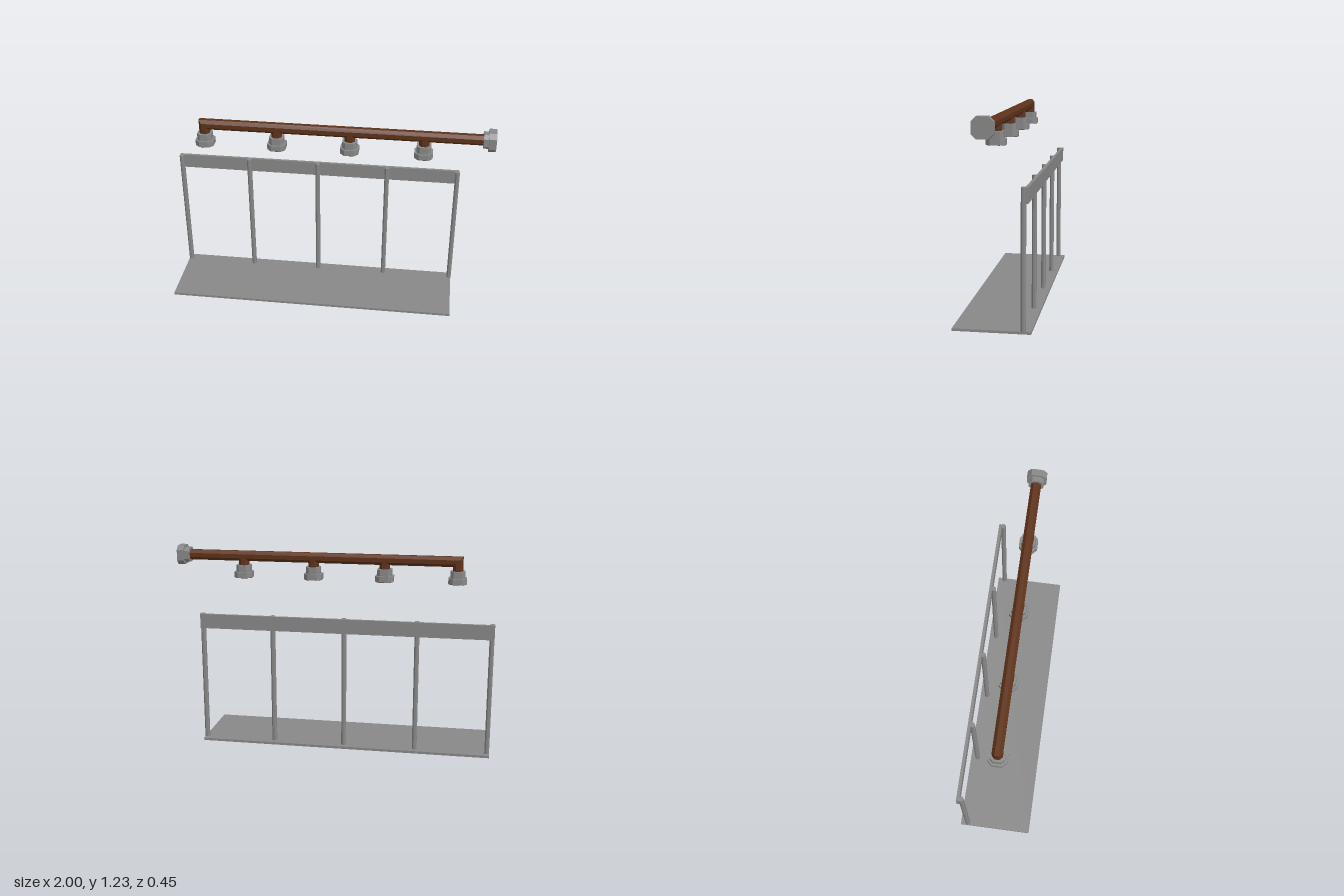
import * as THREE from 'three';

const grey = new THREE.MeshStandardMaterial({ color: 0x888888 });
grey.name = 'grey metal';
const brown = new THREE.MeshStandardMaterial({ color: 0x5e3219 });
brown.name = 'brown pipe';

const PIPE_Y = 1.167, PIPE_Z = 0.007, PIPE_R = 0.031;
const ELBOW_X = -0.764, STEP = 0.4475;

// Flat-faced octagonal bar along y, r measured to the flats
function octBar(r, y0, y1) {
  const g = new THREE.CylinderGeometry(r / Math.cos(Math.PI / 8), r / Math.cos(Math.PI / 8), y1 - y0, 8);
  return g.rotateY(Math.PI / 8).translate(0, (y0 + y1) / 2, 0);
}

// Square block along y with chamfered corners
function chamferBlock(width, cut, y0, y1) {
  const h = width / 2, c = h - cut;
  const pts = [[h, -c], [h, c], [c, h], [-c, h], [-h, c], [-h, -c], [-c, -h], [c, -h]];
  const shape = new THREE.Shape(pts.map(([x, y]) => new THREE.Vector2(x, y)));
  const g = new THREE.ExtrudeGeometry(shape, { depth: y1 - y0, bevelEnabled: false });
  return g.rotateX(-Math.PI / 2).translate(0, y0, 0);
}

// Shift the vertices of one end by a rule, then restore flat normals
function moveVertices(geometry, rule) {
  const g = geometry.toNonIndexed(), p = g.attributes.position, v = new THREE.Vector3();
  for (let i = 0; i < p.count; i++) {
    rule(v.fromBufferAttribute(p, i));
    p.setXYZ(i, v.x, v.y, v.z);
  }
  g.computeVertexNormals();
  return g;
}

function add(parent, name, geometry, material, x = 0, y = 0, z = 0) {
  const g = geometry.index ? geometry.toNonIndexed() : geometry;
  g.computeVertexNormals();
  const mesh = new THREE.Mesh(g, material);
  mesh.name = name;
  mesh.position.set(x, y, z);
  parent.add(mesh);
  return mesh;
}

export function createModel() {
  const model = new THREE.Group();
  model.name = 'pipeManifoldAndRack';

  // Rack: floor plate, upright posts and rear rail
  const rack = new THREE.Group();
  rack.name = 'rack';
  model.add(rack);
  add(rack, 'floorPlate', new THREE.BoxGeometry(1.81, 0.015, 0.452), grey, -0.095, 0.0075, 0);
  add(rack, 'rearRail', new THREE.BoxGeometry(1.81, 0.09, 0.018), grey, -0.095, 0.785, -0.2);
  for (let i = 0; i < 5; i++) {
    add(rack, 'post', octBar(0.0145, 0.01, 0.83), grey, -0.985 + i * 0.446, 0, -0.181);
  }

  // Main pipe with a mitred left end
  const manifold = new THREE.Group();
  manifold.name = 'manifold';
  manifold.position.z = PIPE_Z;
  model.add(manifold);
  const length = 0.93 - ELBOW_X;
  const mainPipe = moveVertices(octBar(PIPE_R, 0, length).rotateZ(-Math.PI / 2), (v) => {
    if (v.x < length / 2) v.x -= v.y;
  });
  add(manifold, 'mainPipe', mainPipe, brown, ELBOW_X, PIPE_Y, 0);

  // End cap on the left side
  const endCap = new THREE.Group();
  endCap.name = 'endCap';
  add(endCap, 'capCollar', chamferBlock(0.09, 0.02, 0.925, 0.958), grey);
  add(endCap, 'capHead', chamferBlock(0.12, 0.027, 0.957, 1.0), grey);
  endCap.rotation.z = -Math.PI / 2;
  endCap.position.y = PIPE_Y;
  manifold.add(endCap);

  // Four outlets: branch pipe, collar, foot and brown mouth
  for (let i = 0; i < 4; i++) {
    const outlet = new THREE.Group();
    outlet.name = 'outlet';
    outlet.position.x = ELBOW_X + i * STEP;
    const branch = moveVertices(octBar(PIPE_R, 1.08, PIPE_Y), (v) => {
      if (i === 0 && v.y > 1.12) v.y -= v.x;
    });
    add(outlet, 'branchPipe', branch, brown);
    add(outlet, 'outletCollar', chamferBlock(0.088, 0.02, 1.068, 1.111), grey);
    add(outlet, 'outletFoot', chamferBlock(0.112, 0.027, 1.034, 1.069), grey);
    add(outlet, 'outletMouth', chamferBlock(0.11, 0.027, 1.032, 1.035), brown);
    manifold.add(outlet);
  }
  return model;
}
